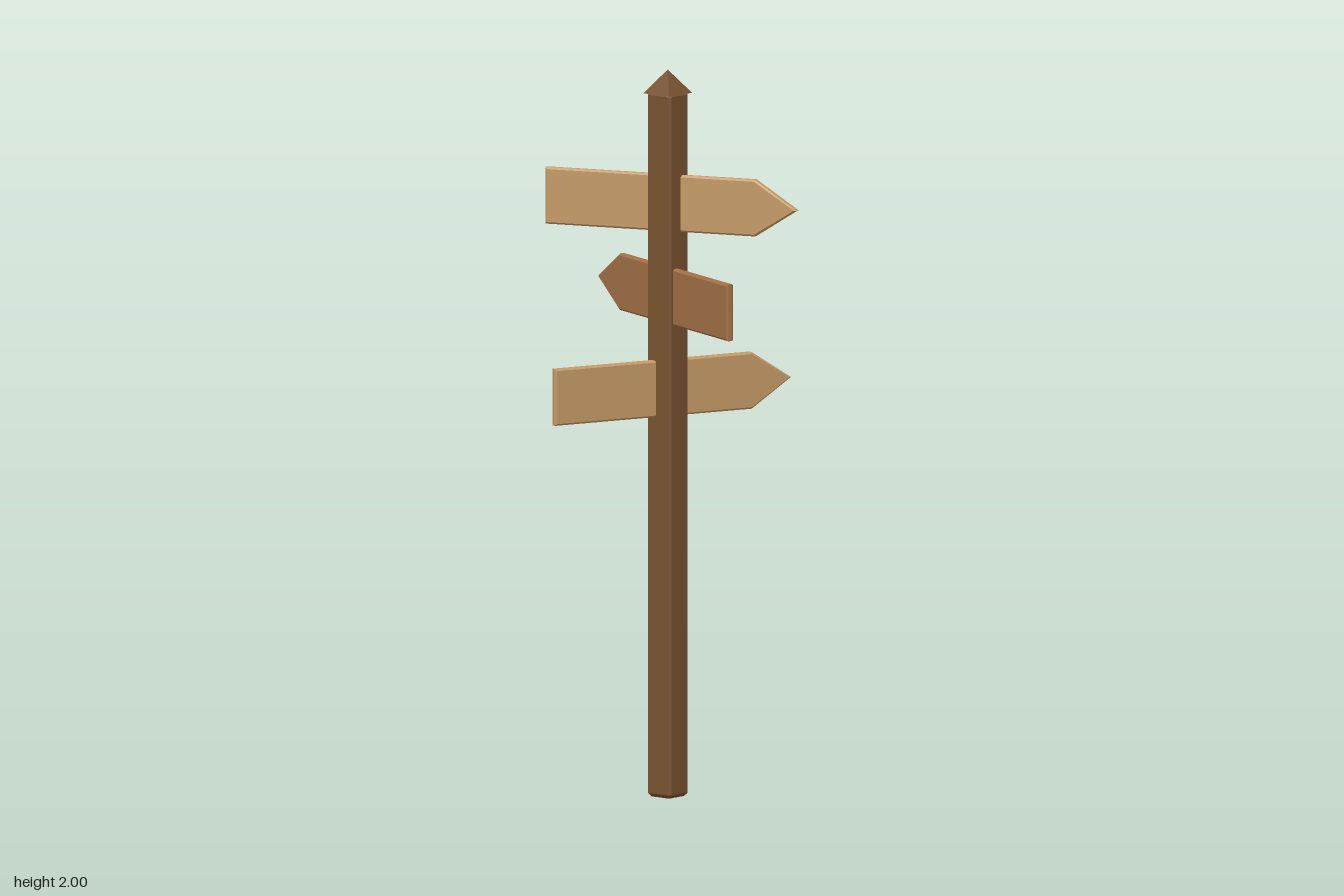
import * as THREE from 'three';

const postWood = new THREE.MeshStandardMaterial({ color: 0x785230 });
postWood.name = 'darkPostWood';
const paleWood = new THREE.MeshStandardMaterial({ color: 0xc49a66 });
paleWood.name = 'paleBoardWood';
const redWood = new THREE.MeshStandardMaterial({ color: 0xa37146 });
redWood.name = 'reddishBoardWood';

// Extruded outline with chamfered edges; the outer size stays that of the outline
function chamferedExtrude(points, thickness, bevel) {
  const shape = new THREE.Shape(points.map(([x, y]) => new THREE.Vector2(x, y)));
  const geometry = new THREE.ExtrudeGeometry(shape, {
    depth: thickness - 2 * bevel,
    bevelEnabled: true,
    bevelThickness: bevel,
    bevelSize: bevel,
    bevelOffset: -bevel,
    bevelSegments: 1,
  });
  geometry.translate(0, 0, bevel);
  return geometry;
}

function addMesh(parent, name, geometry, material) {
  const mesh = new THREE.Mesh(geometry, material);
  mesh.name = name;
  parent.add(mesh);
  return mesh;
}

export function createModel() {
  const group = new THREE.Group();
  group.name = 'signpost';

  // Everything is arranged around the post axis
  const axis = new THREE.Group();
  axis.name = 'signpostAssembly';
  axis.position.z = 0.011;
  group.add(axis);

  // Square post with chamfered corners
  const h = 0.043, c = 0.01, postHeight = 1.942;
  const section = [
    [h - c, -h], [h, -h + c], [h, h - c], [h - c, h],
    [-h + c, h], [-h, h - c], [-h, -h + c], [-h + c, -h],
  ];
  const post = chamferedExtrude(section, postHeight, 0.01);
  post.rotateX(-Math.PI / 2);
  addMesh(axis, 'post', post, postWood);

  // Pyramid cap
  const capHeight = 0.065, capHalf = 0.047;
  const cap = new THREE.ConeGeometry(capHalf * Math.SQRT2, capHeight, 4, 1)
    .rotateY(Math.PI / 4)
    .toNonIndexed();
  cap.computeVertexNormals();
  addMesh(axis, 'cap', cap, postWood).position.y = 2 - capHeight / 2;

  // Arrow boards pass through the post, each turned its own way
  const half = 0.078, thickness = 0.022;
  const outline = [[-0.354, -half], [0.257, -half], [0.379, 0], [0.257, half], [-0.354, half]];
  const board = chamferedExtrude(outline, thickness, 0.005);
  board.translate(0, 0, -thickness / 2);
  const boards = [
    ['upperArrowBoard', 1.634, 20, paleWood],
    ['middleArrowBoard', 1.38, 160, redWood],
    ['lowerArrowBoard', 1.125, 70, paleWood],
  ];
  for (const [name, y, degrees, material] of boards) {
    const mesh = addMesh(axis, name, board, material);
    mesh.position.y = y;
    mesh.rotation.y = THREE.MathUtils.degToRad(degrees);
  }

  return group;
}
